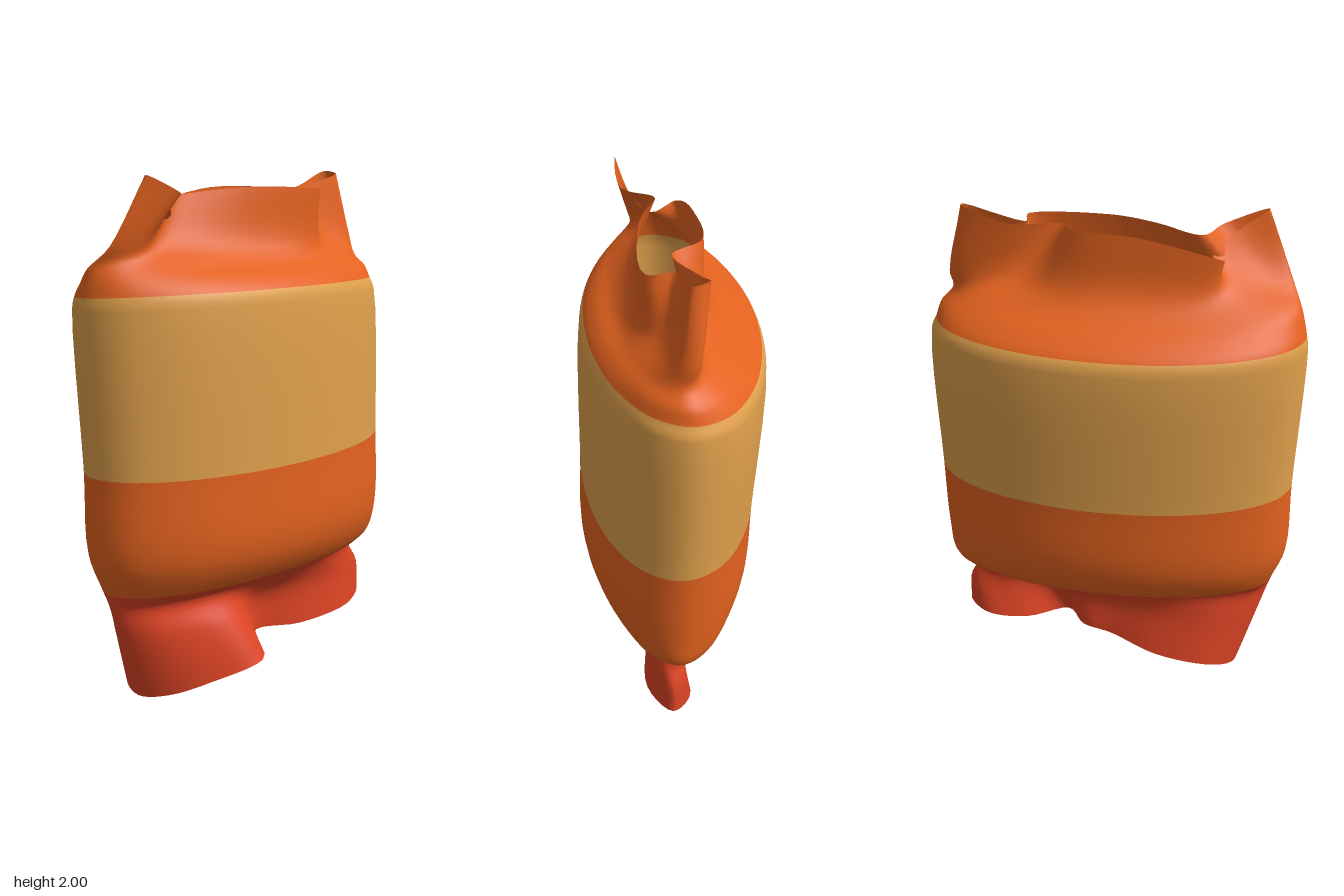
import * as THREE from 'three';

const COLS = 16, AROUND = 80, STEPS = 5;
const V = (x, y, z) => new THREE.Vector3(x, y, z);

// Oval cross-section, optionally shifted and tilted
const oval = (y, rx, rz, cx = 0, cz = 0, tilt = 0) =>
  Array.from({ length: COLS }, (_, i) => {
    const a = (i / COLS) * Math.PI * 2, c = Math.cos(a);
    return V(cx + rx * c, y + tilt * c, cz + rz * Math.sin(a));
  });

// Neck: an oval drawn part of the way towards a rim, at one height
const neck = (base, rim, pull) => base.map((p, i) => V(...p).lerp(rim[i], pull).setY(p.y));

// Bottom rim: a wide front lobe fanned out to the left, a pinch and a small back lobe
function bottomRim() {
  const fan = [[0.07, 0.12, -0.03], [0.3, 0.12, 0.14], [0.24, 0.07, 0.34], [0.14, 0.02, 0.48]];
  const tip = [[0.03, 0, 0.55], [-0.08, 0.02, 0.53], [-0.16, 0.06, 0.42], [-0.15, 0.08, 0.2]];
  const pinch = [[-0.08, 0.11, 0], [-0.05, 0.12, -0.13], [0.06, 0.11, -0.22]];
  const back = [[-0.02, 0.1, -0.4], [-0.04, 0.12, -0.58], [0.04, 0.14, -0.67]];
  const side = [[0.13, 0.12, -0.52], [0.11, 0.1, -0.25]];
  return [fan, tip, pinch, back, side].flat().map((p) => V(...p));
}

// Ruffled top rim with a raised ear at the front and at the back
function topRim() {
  const left = [[0.1, 1.94, -0.02], [0.06, 1.93, 0.15], [0.01, 1.91, 0.32]];
  const frontEar = [[0.13, 1.92, 0.39], [0.14, 1.98, 0.55], [0.11, 1.9, 0.44], [0.02, 1.83, 0.36]];
  const right = [[-0.08, 1.85, 0.41], [-0.12, 1.93, 0.1], [-0.11, 1.94, -0.13], [0, 1.93, -0.2]];
  const backEar = [[-0.07, 1.94, -0.38], [-0.08, 2, -0.54], [-0.02, 1.99, -0.55]];
  const backFold = [[0, 1.93, -0.33], [0.1, 1.93, -0.34]];
  return [left, frontEar, right, backEar, backFold].flat().map((p) => V(...p));
}

// Cross-sections from the bottom opening to the top opening
function buildSections() {
  const bottom = bottomRim(), top = topRim();
  return [
    bottom,
    neck(oval(0.28, 0.09, 0.72, 0.03, 0.03), bottom, 0.6),
    oval(0.39, 0.17, 0.64, 0.02, 0.02),
    oval(0.45, 0.26, 0.69, 0.015, -0.015),
    oval(0.59, 0.335, 0.72, 0.015),
    oval(0.91, 0.343, 0.72, 0.005),
    oval(1.51, 0.342, 0.72, -0.02, 0.01, 0.017),
    oval(1.56, 0.325, 0.705, -0.02, 0.017, 0.016),
    oval(1.61, 0.27, 0.69, -0.01, 0.02, 0.01),
    oval(1.66, 0.19, 0.66, 0, 0.035),
    neck(oval(1.74, 0.15, 0.73, 0, 0.03), top, 0.5),
    top,
  ];
}

// Smooth the sections around and then upwards into one grid of points
function buildSurface(sections) {
  const rings = sections.map((s) => {
    const curve = new THREE.CatmullRomCurve3(s, true, 'centripetal');
    return Array.from({ length: AROUND }, (_, i) => curve.getPoint(i / AROUND));
  });
  const rows = (rings.length - 1) * STEPS;
  const positions = new Float32Array((rows + 1) * AROUND * 3);
  for (let i = 0; i < AROUND; i++) {
    const column = new THREE.CatmullRomCurve3(rings.map((r) => r[i]), false, 'centripetal');
    for (let j = 0; j <= rows; j++) {
      column.getPoint(j / rows).toArray(positions, (j * AROUND + i) * 3);
    }
  }
  const surface = new THREE.BufferGeometry();
  surface.setAttribute('position', new THREE.BufferAttribute(positions, 3));
  surface.setIndex(bandIndex(0, rings.length - 1));
  surface.computeVertexNormals();
  return surface;
}

// Triangles between two section numbers
function bandIndex(from, to) {
  const index = [];
  for (let j = from * STEPS; j < to * STEPS; j++) {
    for (let i = 0; i < AROUND; i++) {
      const a = j * AROUND + i, b = j * AROUND + ((i + 1) % AROUND);
      const c = a + AROUND, d = b + AROUND;
      index.push(a, c, b, b, c, d);
    }
  }
  return index;
}

function material(name, color) {
  const m = new THREE.MeshStandardMaterial({ color, side: THREE.DoubleSide });
  m.name = name;
  return m;
}

export function createModel() {
  const group = new THREE.Group();
  group.name = 'twistedWrapper';
  const red = material('red', 0xde4424);
  const orange = material('orange', 0xe4621f);
  const tan = material('tan', 0xe0a04c);

  // Colour bands share one smooth surface, so the shading runs on across the edges
  const sections = buildSections();
  const surface = buildSurface(sections);
  const band = (name, mat, from, to) => {
    const g = new THREE.BufferGeometry();
    g.setAttribute('position', surface.attributes.position);
    g.setAttribute('normal', surface.attributes.normal);
    g.setIndex(bandIndex(from, to));
    const mesh = new THREE.Mesh(g, mat);
    mesh.name = name;
    group.add(mesh);
  };
  band('bottomFrill', red, 0, 3);
  band('lowerBody', orange, 3, 5);
  band('middleBand', tan, 5, 7);
  band('topFrill', orange, 7, sections.length - 1);
  return group;
}
